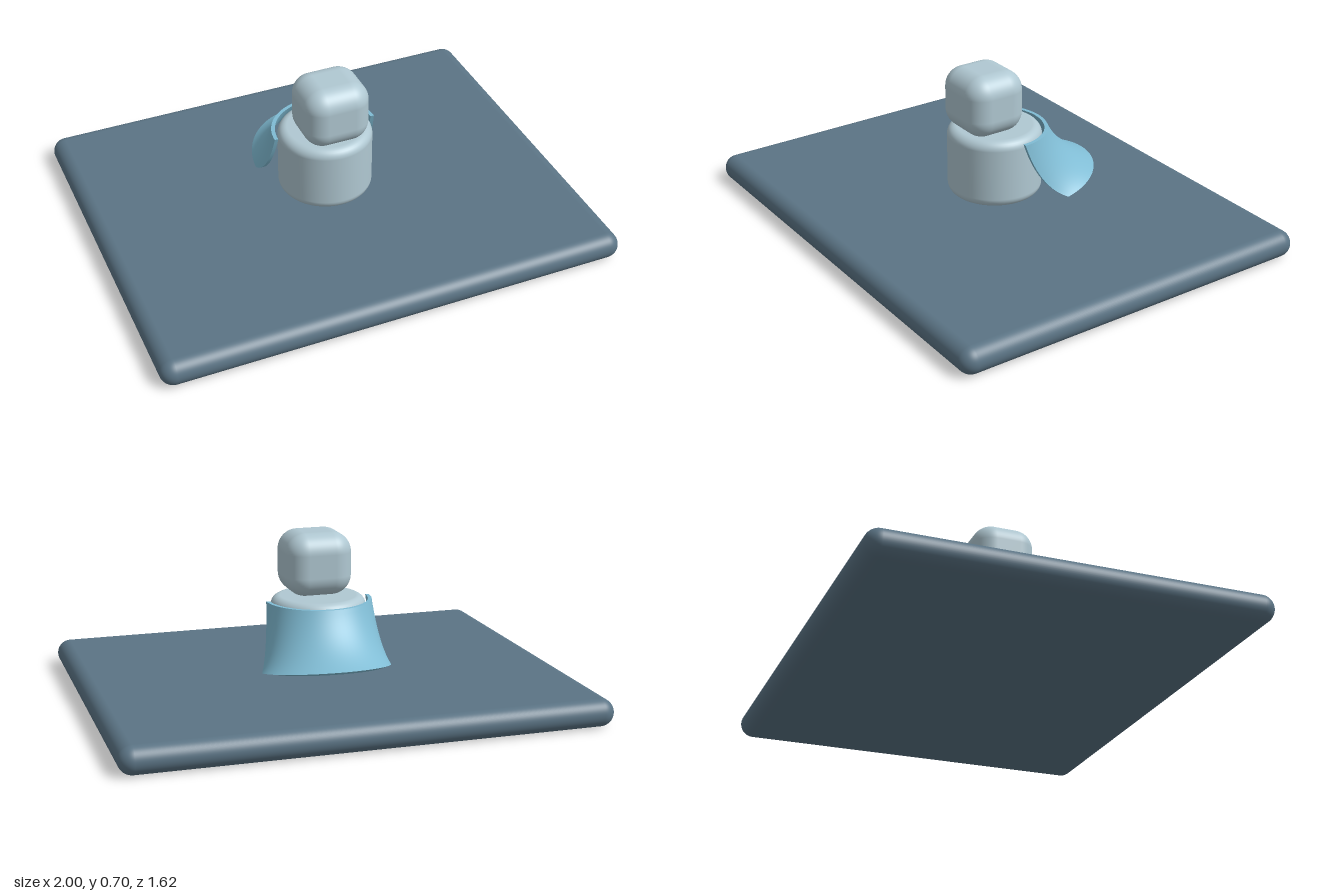
import * as THREE from 'three';
import { RoundedBoxGeometry } from 'three/addons/geometries/RoundedBoxGeometry.js';

function material(name, color) {
  const m = new THREE.MeshStandardMaterial({ color });
  m.name = name;
  return m;
}

// Quadratic curve through a start, a control and an end value
const bend = (a, b, c, t) => (1 - t) * (1 - t) * a + 2 * t * (1 - t) * b + t * t * c;

// Cape: a thin slab wrapped round the back half of the body and flared out to the rear
function capeGeometry() {
  const geo = new THREE.BoxGeometry(1, 1, 1, 40, 16, 1);
  const p = geo.attributes.position;
  for (let i = 0; i < p.count; i++) {
    const angle = Math.PI * (p.getX(i) + 0.5);
    const t = 0.5 - p.getY(i);
    const inset = p.getZ(i) < 0 ? 0.016 : 0;
    const c = Math.cos(angle), s = Math.sin(angle);
    const radius = bend(0.226, 0.24, 0.272, t) - inset;
    const depth = bend(0.226, 0.232, 0.27, t) - inset * (1 - 0.5 * t);
    p.setXYZ(i,
      bend(0, 0.002, 0.022, t) + radius * c,
      bend(0.42, 0.21 + 0.07 * s, 0.163 + 0.057 * s, t) - inset * 0.6 * t * s,
      -bend(0, 0.065, 0.175, t) - depth * s);
  }
  geo.computeVertexNormals();
  return geo;
}

// Cylinder with rounded rims
function bodyGeometry(radius, bottom, top, round) {
  const profile = [new THREE.Vector2(0, bottom)];
  for (const [y, start] of [[bottom + round, -Math.PI / 2], [top - round, 0]]) {
    for (let i = 0; i <= 8; i++) {
      const a = start + (i / 8) * Math.PI / 2;
      profile.push(new THREE.Vector2(radius - round + round * Math.cos(a), y + round * Math.sin(a)));
    }
  }
  profile.push(new THREE.Vector2(0, top));
  return new THREE.LatheGeometry(profile, 64);
}

export function createModel() {
  const group = new THREE.Group();
  const slate = material('slate', 0x5b7485);
  const pale = material('pale blue grey', 0xb0c8d2);
  const sky = material('sky blue', 0x80bcd4);

  const add = (name, geometry, mat, y = 0, z = 0) => {
    const mesh = new THREE.Mesh(geometry, mat);
    mesh.name = name;
    mesh.position.set(0, y, z);
    group.add(mesh);
  };

  add('base', new RoundedBoxGeometry(2, 0.115, 1.62, 8, 0.0574), slate, 0.0575);
  add('body', bodyGeometry(0.2, 0.135, 0.435, 0.04), pale);
  add('head', new RoundedBoxGeometry(0.285, 0.267, 0.27, 8, 0.085), pale, 0.567, 0.055);
  add('cape', capeGeometry(), sky);
  return group;
}
